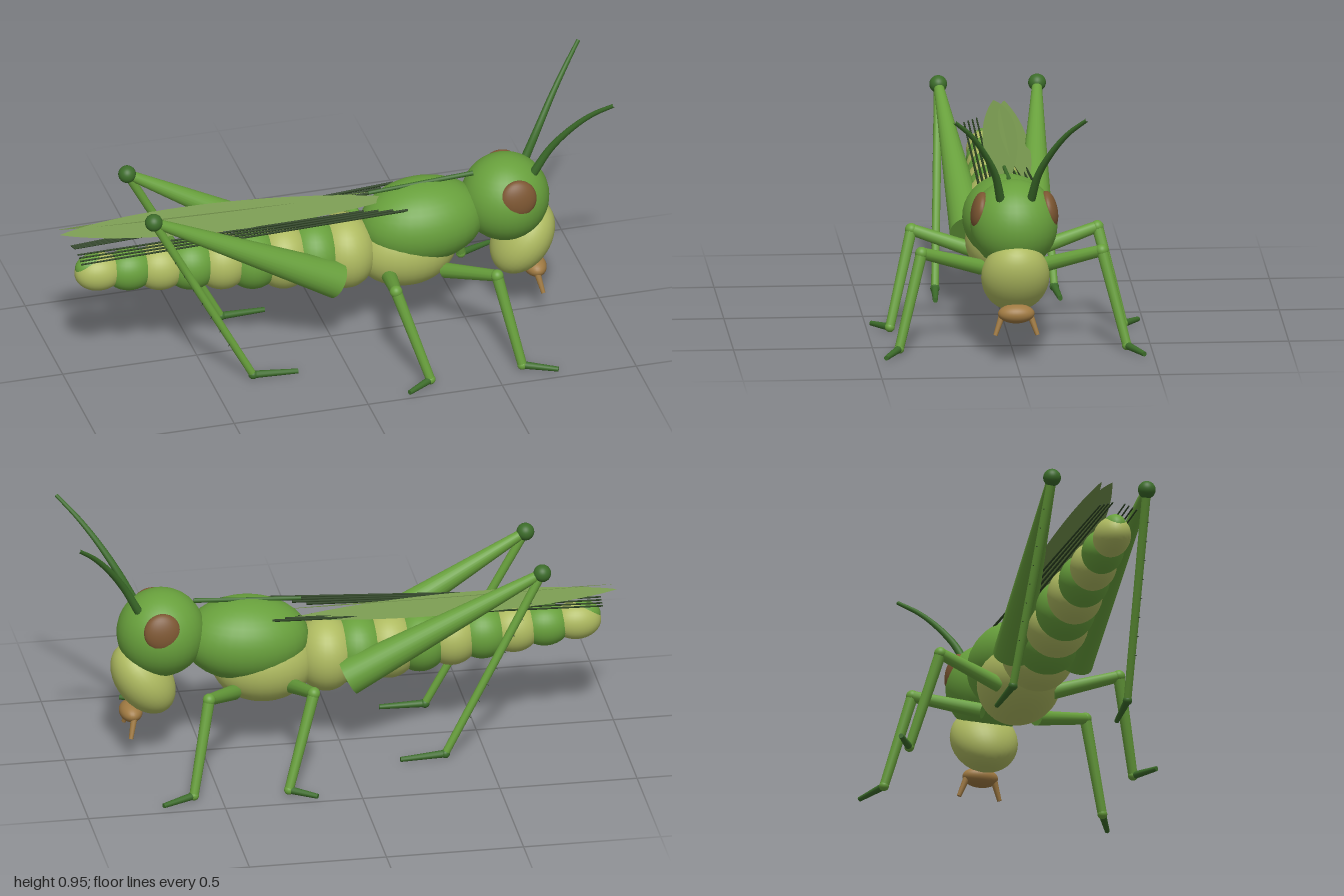
import * as THREE from 'three';

const mat = (color, side = THREE.FrontSide) => new THREE.MeshStandardMaterial({ color, side });
const green = mat(0x68a03c), dark = mat(0x3c6c2a), pale = mat(0xaeba60);
const eyeBrown = mat(0x7c5632), tan = mat(0xa07a42);
const wingMat = mat(0x76964e, THREE.DoubleSide), veinMat = mat(0x2c4222);
const V = (x, y, z) => new THREE.Vector3(x, y, z);

function add(parent, name, geometry, material) {
  const mesh = new THREE.Mesh(geometry, material);
  mesh.name = name;
  parent.add(mesh);
  return mesh;
}

function ellipsoid(parent, name, material, center, radii) {
  const mesh = add(parent, name, new THREE.SphereGeometry(1, 32, 20), material);
  mesh.position.copy(center);
  mesh.scale.set(...radii);
  return mesh;
}

// Tapered rod from a (radius ra) to b (radius rb)
function rod(parent, name, material, a, b, ra, rb, sides = 12) {
  const dir = b.clone().sub(a);
  const mesh = add(parent, name, new THREE.CylinderGeometry(rb, ra, dir.length(), sides), material);
  mesh.position.copy(a).addScaledVector(dir, 0.5);
  mesh.quaternion.setFromUnitVectors(V(0, 1, 0), dir.normalize());
  return mesh;
}

// Tube whose radius shrinks along a curve
function taperedTube(curve, r0, r1, segments = 24, sides = 10) {
  const geo = new THREE.TubeGeometry(curve, segments, 1, sides);
  const pos = geo.attributes.position, p = V(0, 0, 0);
  for (let i = 0; i < pos.count; i++) {
    const t = Math.floor(i / (sides + 1)) / segments;
    const c = curve.getPointAt(t);
    p.fromBufferAttribute(pos, i).sub(c).multiplyScalar(r0 + (r1 - r0) * t).add(c);
    pos.setXYZ(i, p.x, p.y, p.z);
  }
  return geo;
}

// Walking leg: hip, knee, ankle and toe
function walkingLeg(name, s, points) {
  const leg = new THREE.Group();
  leg.name = name;
  const [hip, knee, ankle, toe] = points.map(([x, y, z]) => V(x, y, z * s));
  rod(leg, 'femur', green, hip, knee, 0.028, 0.021);
  rod(leg, 'tibia', green, knee, ankle, 0.021, 0.017);
  rod(leg, 'foot', dark, ankle, toe, 0.014, 0.009);
  ellipsoid(leg, 'knee', green, knee, [0.023, 0.023, 0.023]);
  ellipsoid(leg, 'ankle', green, ankle, [0.018, 0.018, 0.018]);
  return leg;
}

// Jumping leg with a thick conical femur and a spined tibia
function jumpingLeg(s) {
  const leg = new THREE.Group();
  leg.name = 'hindLeg';
  const hip = V(-0.012, 0.306, 0.118 * s), knee = V(-0.71, 0.69, 0.178 * s);
  const ankle = V(-0.35, 0.02, 0.215 * s), toe = V(-0.185, 0.014, 0.225 * s);
  rod(leg, 'femur', green, hip, knee, 0.068, 0.017, 24);
  ellipsoid(leg, 'knee', dark, knee, [0.032, 0.032, 0.032]);
  rod(leg, 'tibia', green, knee, ankle, 0.016, 0.014);
  ellipsoid(leg, 'ankle', dark, ankle, [0.017, 0.017, 0.017]);
  rod(leg, 'foot', dark, ankle, toe, 0.014, 0.009);
  for (let i = 0; i < 8; i++) {
    const p = knee.clone().lerp(ankle, 0.15 + i * 0.09);
    rod(leg, 'spine', veinMat, p, p.clone().add(V(-0.014, -0.01, 0.016 * s)), 0.004, 0.0008, 5);
  }
  return leg;
}

// Thin leaf-shaped wing running from root to tip, banked about its length
function wing(parent, name, root, tip, halfWidth, bank) {
  const shape = new THREE.Shape();
  const len = root.distanceTo(tip);
  shape.moveTo(0, 0);
  shape.bezierCurveTo(len * 0.3, halfWidth * 1.35, len * 0.8, halfWidth * 1.3, len, 0);
  shape.bezierCurveTo(len * 0.8, -halfWidth * 1.3, len * 0.3, -halfWidth * 1.35, 0, 0);
  const mesh = add(parent, name, new THREE.ShapeGeometry(shape, 24), wingMat);
  const along = tip.clone().sub(root).normalize();
  const across = V(0, Math.sin(bank), Math.cos(bank));
  const normal = along.clone().cross(across).normalize();
  across.crossVectors(normal, along);
  mesh.quaternion.setFromRotationMatrix(new THREE.Matrix4().makeBasis(along, across, normal));
  mesh.position.copy(root);
}

export function createModel() {
  const model = new THREE.Group();
  model.name = 'grasshopper';

  // Abdomen: alternating overlapping bands that shrink toward the tail
  const abdomen = new THREE.Group();
  abdomen.name = 'abdomen';
  model.add(abdomen);
  for (let i = 0; i < 9; i++) {
    const t = i / 8, r = 0.14 - 0.07 * t;
    ellipsoid(abdomen, 'abdomenSegment', i % 2 ? green : pale,
      V(0.05 - 0.915 * t, 0.355 + 0.055 * t, 0), [0.115 - 0.025 * t, r, r * 0.95]);
  }
  ellipsoid(abdomen, 'tailPlate', green, V(-0.885, 0.432, 0), [0.068, 0.051, 0.045]);

  // Thorax with a pale belly and a dorsal ridge
  const thorax = new THREE.Group();
  thorax.name = 'thorax';
  model.add(thorax);
  ellipsoid(thorax, 'shield', green, V(0.34, 0.438, 0), [0.23, 0.154, 0.165]).rotation.z = 0.04;
  ellipsoid(thorax, 'belly', pale, V(0.275, 0.342, 0), [0.19, 0.148, 0.15]);
  rod(thorax, 'ridge', dark, V(0.14, 0.577, 0), V(0.53, 0.598, 0), 0.007, 0.009, 8);

  // Head, face and mouth
  const head = new THREE.Group();
  head.name = 'head';
  model.add(head);
  ellipsoid(head, 'skull', green, V(0.65, 0.485, 0), [0.16, 0.162, 0.157]);
  ellipsoid(head, 'face', pale, V(0.715, 0.307, 0), [0.1, 0.148, 0.123]).rotation.z = -0.6;
  ellipsoid(head, 'mouth', tan, V(0.76, 0.18, 0), [0.042, 0.035, 0.066]);

  for (const s of [1, -1]) {
    const eye = ellipsoid(head, 'eye', eyeBrown, V(0.665, 0.538, 0.124 * s), [0.068, 0.07, 0.032]);
    eye.rotation.x = -0.18 * s;
    rod(head, 'palp', tan, V(0.757, 0.17, 0.052 * s), V(0.772, 0.103, 0.076 * s), 0.012, 0.008);
    const path = new THREE.CatmullRomCurve3([
      V(0.74, 0.595, 0.055 * s), V(0.795, 0.7, 0.078 * s), V(0.86, 0.8, 0.125 * s),
      V(0.925, 0.88, 0.178 * s), V(0.99, 0.943, 0.239 * s)]);
    add(head, 'antenna', taperedTube(path, 0.016, 0.007), dark);

    // Legs
    model.add(walkingLeg('frontLeg', s,
      [[0.4, 0.27, 0.1], [0.53, 0.355, 0.325], [0.6, 0.02, 0.41], [0.72, 0.014, 0.465]]));
    model.add(walkingLeg('middleLeg', s,
      [[0.19, 0.28, 0.1], [0.15, 0.355, 0.335], [0.255, 0.02, 0.42], [0.16, 0.014, 0.48]]));
    model.add(jumpingLeg(s));

    // Wing veins
    for (let i = 0; i < 4; i++) {
      rod(model, 'wingVein', veinMat, V(0.26 - 0.05 * i, 0.543 - 0.004 * i, (0.1 - 0.018 * i) * s),
        V(-0.95, 0.49 + 0.005 * i, (0.068 - 0.015 * i) * s), 0.005, 0.003, 6);
    }
  }

  // Folded wings, meeting like a shallow roof
  wing(model, 'leftWing', V(0.25, 0.54, -0.005), V(-1, 0.56, -0.04), 0.065, -0.4);
  wing(model, 'rightWing', V(0.2, 0.535, -0.075), V(-1, 0.558, -0.08), 0.055, 0.35);

  return model;
}
